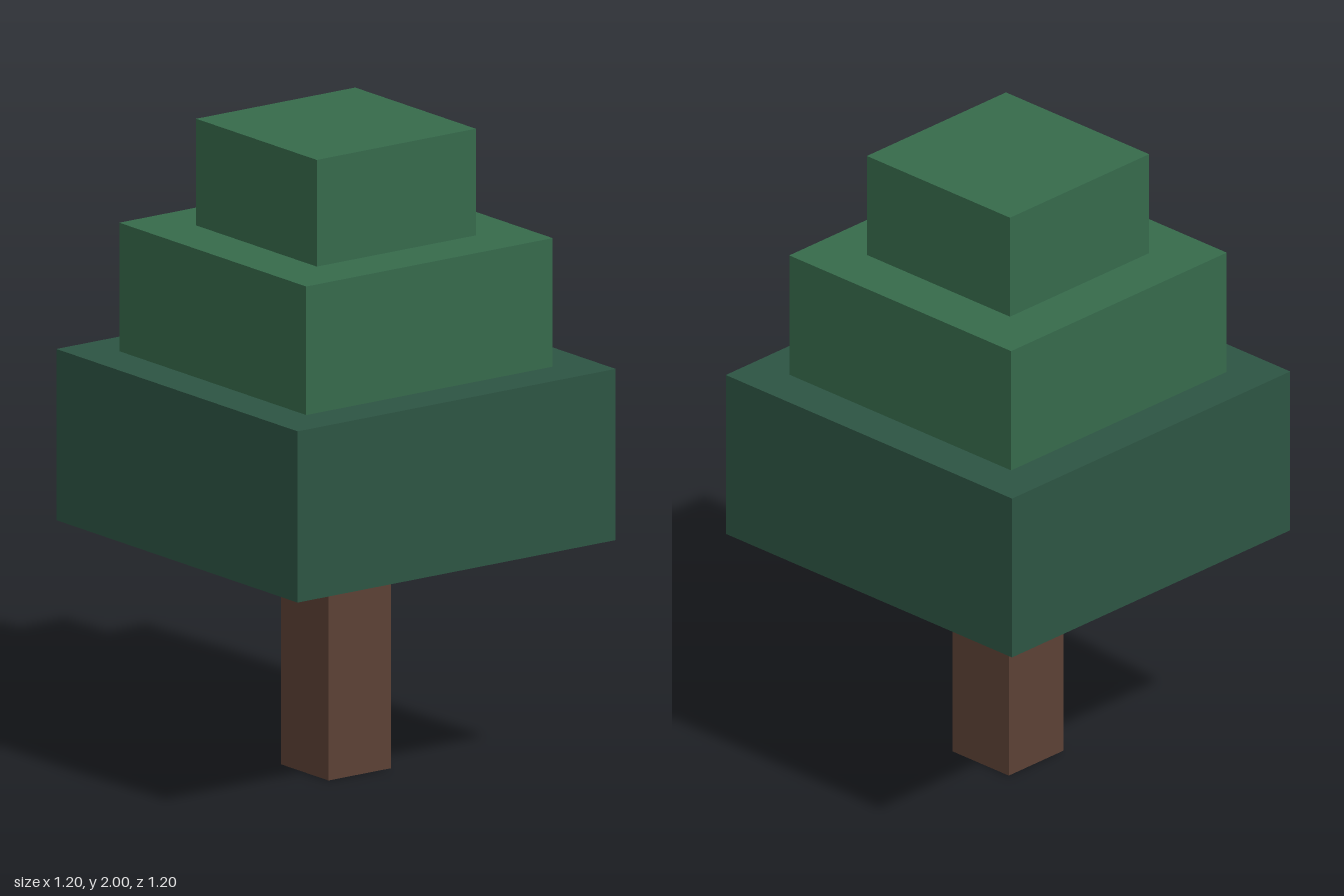
import * as THREE from 'three';

const material = (name, color) => {
  const m = new THREE.MeshStandardMaterial({ color });
  m.name = name;
  return m;
};

export function createModel() {
  const bark = material('bark brown', 0x5c4135);
  const darkGreen = material('dark green', 0x2d5443);
  const green = material('leaf green', 0x366a4b);

  const tree = new THREE.Group();
  tree.name = 'tree';

  // Stacked square blocks: name, width, bottom, top, material
  const blocks = [
    ['trunk', 0.235, 0, 0.735, bark],
    ['lowerFoliage', 1.2, 0.735, 1.268, darkGreen],
    ['middleFoliage', 0.93, 1.268, 1.668, green],
    ['topFoliage', 0.6, 1.668, 2, green],
  ];
  for (const [name, width, bottom, top, mat] of blocks) {
    const mesh = new THREE.Mesh(new THREE.BoxGeometry(width, top - bottom, width), mat);
    mesh.name = name;
    mesh.position.y = (bottom + top) / 2;
    tree.add(mesh);
  }
  return tree;
}
